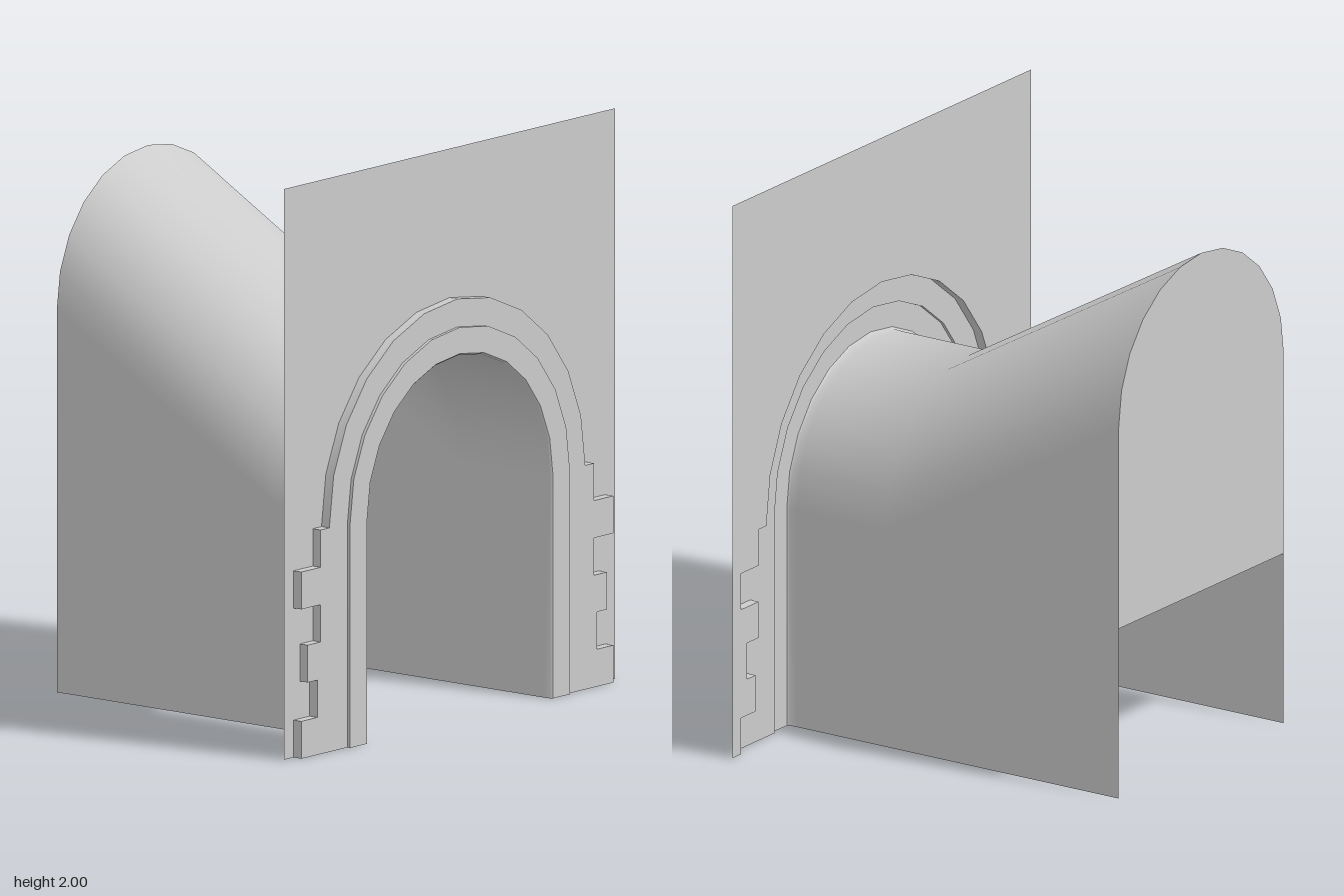
import * as THREE from 'three';
import { toCreasedNormals } from 'three/addons/utils/BufferGeometryUtils.js';

const SPRING = 0.785;   // height where the arches start to curve
const SEGMENTS = 12;
const WALL_Z = 0.645, TRIM_Z = 0.68, RING_Z = 0.692, BACK_Z = -0.692;

const material = new THREE.MeshStandardMaterial({ color: 0xcccccc, side: THREE.DoubleSide });

function addMesh(group, name, geometry) {
  const mesh = new THREE.Mesh(geometry, material);
  mesh.name = name;
  group.add(mesh);
}

// Half circle from +x over the top to -x
function arc(radius, spring = SPRING) {
  return Array.from({ length: SEGMENTS + 1 }, (_, i) => {
    const a = (Math.PI * i) / SEGMENTS;
    return new THREE.Vector2(radius * Math.cos(a), spring + radius * Math.sin(a));
  });
}

// Arch with straight legs down to the given base height
function arch(radius, spring = SPRING, base = 0) {
  return [new THREE.Vector2(radius, base), ...arc(radius, spring), new THREE.Vector2(-radius, base)];
}

// Arch with stepped quoin blocks on both legs
function quoinOutline() {
  const widths = [0.845, 0.757, 0.81, 0.74, 0.845, 0.74];
  const step = SPRING / widths.length;
  const right = widths.flatMap((w, i) => [
    new THREE.Vector2(w, i * step), new THREE.Vector2(w, (i + 1) * step),
  ]);
  const left = right.map((p) => new THREE.Vector2(-p.x, p.y)).reverse();
  return [...right, ...arc(0.693), ...left];
}

// Flat face between an outer and an inner line, both open at the ground
function face(outer, inner, z) {
  const shape = new THREE.Shape([...outer, ...inner.slice().reverse()]);
  return new THREE.ShapeGeometry(shape).translate(0, 0, z);
}

// Skin through sections of equal point count: { points, z }
function loft(sections) {
  const n = sections[0].points.length;
  const positions = sections.flatMap(({ points, z }) => points.flatMap((p) => [p.x, p.y, z]));
  const index = [];
  for (let s = 0; s < sections.length - 1; s++) {
    for (let i = 0; i < n - 1; i++) {
      const a = s * n + i, b = a + n;
      index.push(a, b, a + 1, a + 1, b, b + 1);
    }
  }
  const geometry = new THREE.BufferGeometry();
  geometry.setAttribute('position', new THREE.Float32BufferAttribute(positions, 3));
  geometry.setIndex(index);
  geometry.computeVertexNormals();
  return geometry;
}

// Narrow edge between two depths, creased at the quoin corners
function edge(points, z0, z1) {
  return toCreasedNormals(loft([{ points, z: z0 }, { points, z: z1 }]), 0.6);
}

export function createModel() {
  const group = new THREE.Group();
  group.name = 'tunnelPortal';

  const quoins = quoinOutline();
  const ringOuter = arch(0.595);
  const ringInner = arch(0.503);

  // Thin front wall, cut out behind the trim
  const wall = [[0.897, 0], [0.897, 2], [-0.897, 2], [-0.897, 0]].map(([x, y]) => new THREE.Vector2(x, y));
  addMesh(group, 'frontWall', face(wall, quoins, WALL_Z));

  // Raised stone trim with stepped quoins
  addMesh(group, 'quoinEdge', edge(quoins, WALL_Z, TRIM_Z));
  addMesh(group, 'quoinFace', face(quoins, ringOuter, TRIM_Z));

  // Raised ring around the opening
  addMesh(group, 'ringEdge', edge(ringOuter, TRIM_Z, RING_Z));
  addMesh(group, 'ringFace', face(ringOuter, ringInner, RING_Z));

  // Tunnel: rounded lip, level stretch, then a rising roof
  const radius = 0.495;
  const backSpring = 1.345;
  addMesh(group, 'tunnel', loft([
    { points: ringInner, z: RING_Z },
    { points: arch(0.497), z: 0.685 },
    { points: arch(radius), z: 0.655 },
    { points: arch(radius), z: 0.285 },
    { points: arch(radius, backSpring), z: BACK_Z },
  ]));

  // Panel closing the upper part of the rear end
  const panel = new THREE.ShapeGeometry(new THREE.Shape(arch(radius, backSpring, 0.615)));
  addMesh(group, 'rearPanel', panel.translate(0, 0, BACK_Z));

  return group;
}
